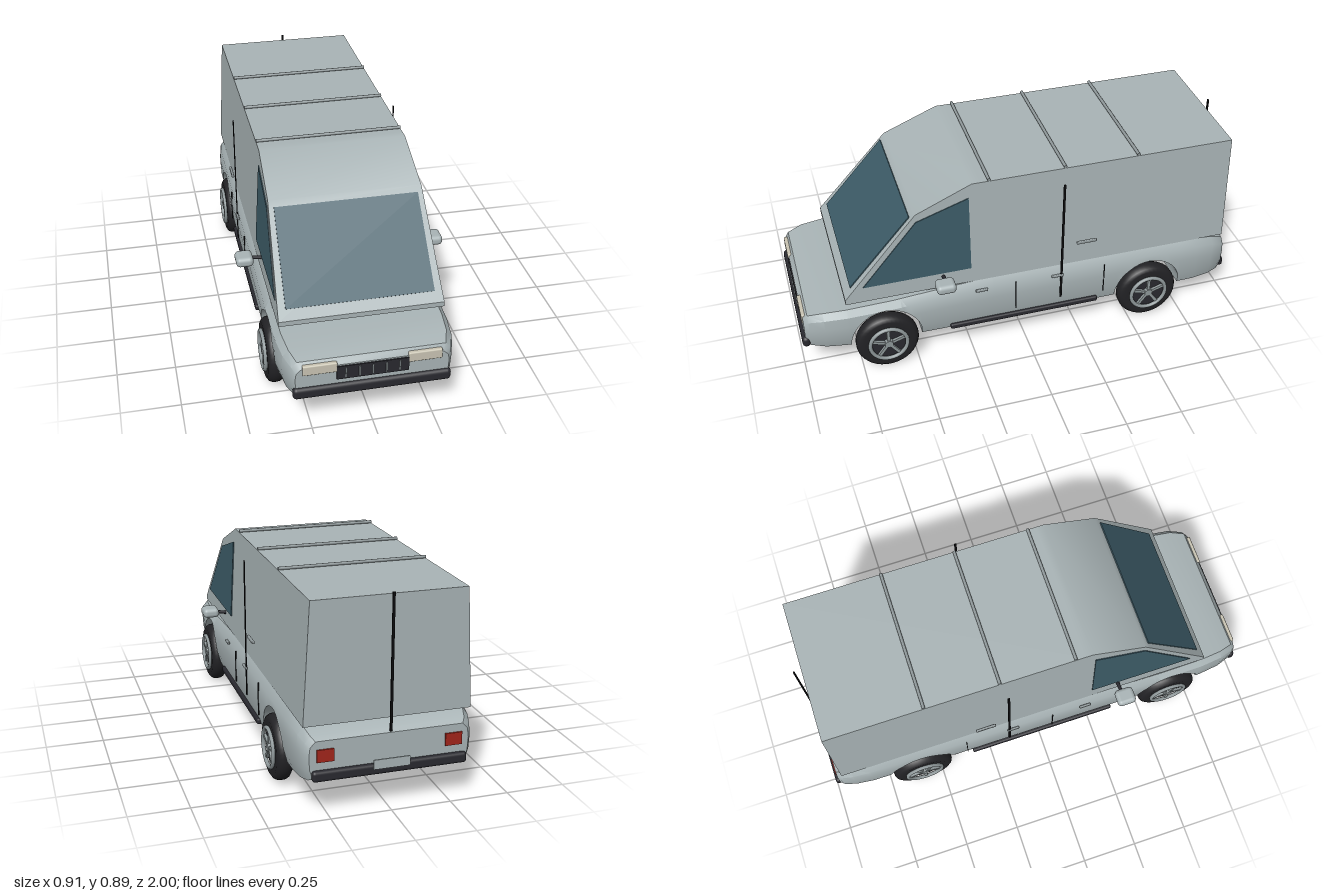
import * as THREE from 'three';
import { toCreasedNormals } from 'three/addons/utils/BufferGeometryUtils.js';
import { RoundedBoxGeometry } from 'three/addons/geometries/RoundedBoxGeometry.js';

const ARCHES = [0.635, -0.585], ARCH_R = 0.157, ARCH_Y = 0.157;

// piecewise linear lookup over rows of [z, value], z descending
function lookup(rows, z, col) {
  if (z >= rows[0][0]) return rows[0][col];
  for (let i = 1; i < rows.length; i++) {
    const a = rows[i - 1], b = rows[i];
    if (z >= b[0]) return a[col] + (b[col] - a[col]) * (a[0] - z) / (a[0] - b[0]);
  }
  return rows[rows.length - 1][col];
}

// lower body: cross-sections along z with the wheel arches cut through the underside
function lowerBodyGeometry() {
  // z, half width, bottom, top
  const rows = [
    [0.985, 0.315, 0.168, 0.295], [0.965, 0.33, 0.157, 0.318], [0.9, 0.353, 0.15, 0.333],
    [0.8, 0.365, 0.145, 0.338], [0.6, 0.37, 0.14, 0.346], [0.4, 0.372, 0.14, 0.362],
    [0.15, 0.372, 0.14, 0.377], [-0.4, 0.372, 0.14, 0.377], [-0.82, 0.37, 0.145, 0.377],
    [-0.9, 0.36, 0.148, 0.36], [-0.95, 0.345, 0.156, 0.338], [-0.97, 0.33, 0.166, 0.322],
  ];
  const stations = rows.map(r => [r[0], 0])
    .filter(s => ARCHES.every(c => Math.abs(s[0] - c) > ARCH_R));
  for (const c of ARCHES) {
    stations.push([c + ARCH_R, 0]);
    for (let i = 0; i <= 20; i++) {
      const a = Math.PI * i / 20;
      stations.push([c + ARCH_R * Math.cos(a), ARCH_Y + ARCH_R * Math.sin(a)]);
    }
    stations.push([c - ARCH_R, 0]);
  }
  stations.sort((a, b) => b[0] - a[0]);
  const levels = [[1, 0.92], [0.85, 0.985], [0.6, 1], [0.25, 0.99], [0, 0.95]];
  const pos = [], index = [], n = levels.length * 2;
  for (const [z, arch] of stations) {
    const w = lookup(rows, z, 1), lo = lookup(rows, z, 2), hi = lookup(rows, z, 3);
    const side = levels.map(([t]) => {
      const y = Math.max(lo + t * (hi - lo), arch);
      return [w * lookup(levels, (y - lo) / (hi - lo), 1), y];
    });
    for (const [x, y] of [...side].reverse()) pos.push(x, y, z);
    for (const [x, y] of side) pos.push(-x, y, z);
  }
  for (let k = 0; k < stations.length - 1; k++) {
    for (let i = 0; i < n; i++) {
      const j = (i + 1) % n, a = k * n + i, b = k * n + j, c = b + n, d = a + n;
      index.push(a, d, b, d, c, b);
    }
  }
  const last = (stations.length - 1) * n;
  for (let i = 1; i < n - 1; i++) index.push(0, i, i + 1, last, last + i + 1, last + i);
  const g = new THREE.BufferGeometry();
  g.setAttribute('position', new THREE.Float32BufferAttribute(pos, 3));
  g.setIndex(index);
  return toCreasedNormals(g, 0.55);
}

// half width of the upper box, leaning inwards with height
const wallX = y => 0.346 - (y - 0.375) * 0.056;

// side profile given as [z, y], extruded across x
function profileGeometry(points, depth) {
  const g = new THREE.ExtrudeGeometry(
    new THREE.Shape(points.map(([z, y]) => new THREE.Vector2(-z, y))), { depth, bevelEnabled: false });
  g.translate(0, 0, -depth / 2);
  return g.rotateY(Math.PI / 2);
}

function upperBoxGeometry() {
  const g = profileGeometry([[0.8, 0.375], [0.8, 0.397], [0.5, 0.742], [0.475, 0.77], [0.23, 0.875],
    [0.19, 0.875], [-0.945, 0.875], [-0.945, 0.375]], 2);
  const p = g.attributes.position;
  for (let i = 0; i < p.count; i++) p.setX(i, Math.sign(p.getX(i)) * wallX(p.getY(i)));
  return toCreasedNormals(g, 0.5);
}

export function createModel() {
  const root = new THREE.Group();
  const material = (name, color) => {
    const m = new THREE.MeshStandardMaterial({ color });
    m.name = name;
    return m;
  };
  const silver = material('silver paint', 0xa9b4b6);
  const glass = material('tinted glass', 0x3d5c68);
  const trim = material('dark trim', 0x29292f);
  const rubber = material('rubber', 0x222225);
  const black = material('black seam', 0x0b0b0d);
  const metal = material('grey metal', 0x90999b);
  const lamp = material('headlight cream', 0xc9c4b3);
  const red = material('tail light red', 0xa3251b);

  const add = (name, geo, mat, x = 0, y = 0, z = 0, parent = root) => {
    const m = new THREE.Mesh(geo, mat);
    m.name = name;
    m.position.set(x, y, z);
    parent.add(m);
    return m;
  };
  const box = (name, mat, w, h, d, x, y, z) => add(name, new THREE.BoxGeometry(w, h, d), mat, x, y, z);
  const rounded = (name, mat, w, h, d, x, y, z, r) =>
    add(name, new RoundedBoxGeometry(w, h, d, 3, r), mat, x, y, z);

  add('lowerBody', lowerBodyGeometry(), silver);
  add('upperBox', upperBoxGeometry(), silver);

  // windscreen lying on the sloped front
  const slope = Math.atan2(0.3, 0.345);
  const screen = new THREE.BoxGeometry(0.62, 0.416, 0.006);
  const sp = screen.attributes.position;
  for (let i = 0; i < sp.count; i++) if (sp.getY(i) > 0) sp.setX(i, sp.getX(i) * 0.978);
  add('windscreen', screen, glass, 0, 0.592, 0.633).rotation.x = -slope;

  // side windows
  for (const s of [1, -1]) {
    const g = profileGeometry([[0.72, 0.45], [0.475, 0.735], [0.245, 0.81], [0.245, 0.45]], 0.006);
    const p = g.attributes.position;
    for (let i = 0; i < p.count; i++) p.setX(i, p.getX(i) + s * (wallX(p.getY(i)) + 0.001));
    g.computeVertexNormals();
    add('sideWindow', g, glass);
  }

  // roof bars
  for (const z of [0.155, -0.18, -0.51]) {
    add('roofBar', new THREE.CylinderGeometry(0.007, 0.007, 0.635, 10), metal, 0, 0.881, z).rotation.z = Math.PI / 2;
  }

  // front end
  rounded('frontBumper', trim, 0.65, 0.052, 0.036, 0, 0.18, 0.982, 0.017);
  box('grille', trim, 0.295, 0.062, 0.016, 0, 0.258, 0.982);
  for (let i = -2; i <= 2; i++) box('grilleBar', metal, 0.006, 0.046, 0.006, i * 0.055, 0.258, 0.991);

  // rear end
  rounded('rearBumper', trim, 0.64, 0.045, 0.03, 0, 0.18, -0.975, 0.013);
  box('rearPlate', silver, 0.15, 0.04, 0.006, 0, 0.205, -0.993);
  box('rearDoorSeam', black, 0.01, 0.56, 0.006, 0, 0.61, -0.975);

  for (const s of [1, -1]) {
    rounded('headlight', lamp, 0.14, 0.046, 0.02, s * 0.215, 0.286, 0.98, 0.006);
    box('tailLight', red, 0.07, 0.052, 0.012, s * 0.265, 0.262, -0.971);
    rounded('sideSill', trim, 0.03, 0.026, 0.69, s * 0.358, 0.152, 0.005, 0.008);

    // door seams and handles
    box('slidingDoorSeam', black, 0.004, 0.62, 0.01, s * 0.373, 0.52, -0.16);
    for (const z of [0.05, -0.365]) box('lowerDoorSeam', black, 0.006, 0.15, 0.003, s * 0.371, 0.27, z);
    for (const z of [0.207, -0.142]) rounded('lowerDoorHandle', metal, 0.012, 0.012, 0.055, s * 0.374, 0.338, z, 0.004);
    rounded('upperDoorHandle', metal, 0.012, 0.014, 0.092, s * 0.377, 0.508, -0.27, 0.004);

    // mirrors
    rounded('mirror', silver, 0.074, 0.044, 0.085, s * 0.418, 0.44, 0.378, 0.018);
    add('mirrorArm', new THREE.CylinderGeometry(0.008, 0.008, 0.075, 10), trim, s * 0.36, 0.434, 0.37)
      .rotation.z = s * (Math.PI / 2 + 0.15);
  }

  // wheels, built around y and laid on their sides with the outer face pointing +y
  const tyre = new THREE.LatheGeometry([[0.088, -0.034], [0.118, -0.036], [0.132, -0.027], [0.139, -0.014],
    [0.14, 0], [0.139, 0.014], [0.132, 0.027], [0.118, 0.036], [0.088, 0.034]]
    .map(([r, h]) => new THREE.Vector2(r, h)), 40);
  const disc = new THREE.CylinderGeometry(0.09, 0.09, 0.05, 32);
  const ring = new THREE.TorusGeometry(0.083, 0.009, 8, 36).rotateX(Math.PI / 2);
  const hub = new THREE.CylinderGeometry(0.018, 0.022, 0.016, 16);
  const spoke = new THREE.BoxGeometry(0.07, 0.012, 0.014).translate(0.045, 0, 0);
  for (const s of [1, -1]) for (const z of ARCHES) {
    const wheel = new THREE.Group();
    wheel.name = 'wheel';
    wheel.position.set(s * 0.349, 0.143, z);
    wheel.rotation.z = -s * Math.PI / 2;
    root.add(wheel);
    add('tyre', tyre, rubber, 0, 0, 0, wheel);
    add('wheelDisc', disc, trim, 0, 0, 0, wheel);
    for (const face of [1, -1]) {
      add('rimRing', ring, metal, 0, face * 0.039, 0, wheel);
      add('hub', hub, metal, 0, face * 0.036, 0, wheel).rotation.x = face > 0 ? 0 : Math.PI;
      for (let i = 0; i < 5; i++) {
        add('spoke', spoke, metal, 0, face * 0.034, 0, wheel).rotation.y = i * Math.PI * 0.4 + Math.PI;
      }
    }
  }
  return root;
}
